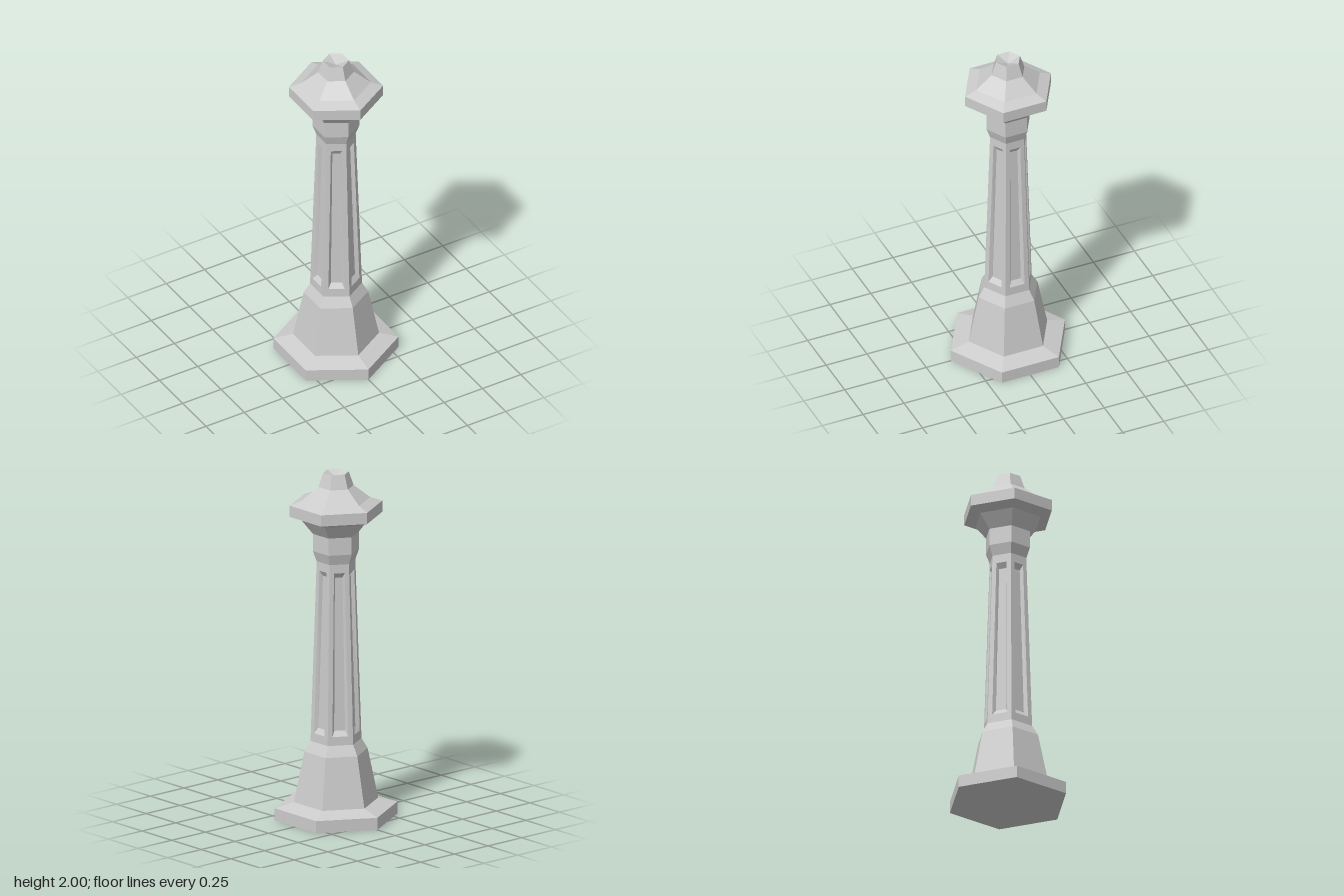
import * as THREE from 'three';

const SIDES = 6;
const material = new THREE.MeshStandardMaterial({ color: 0xcccccc, flatShading: true });

// Six-sided solid from [radius, height] pairs, corners on the z axis
function hexLathe(name, profile) {
  const points = profile.map(([r, y]) => new THREE.Vector2(r, y));
  const geometry = new THREE.LatheGeometry(points, SIDES).toNonIndexed();
  geometry.computeVertexNormals();
  const mesh = new THREE.Mesh(geometry, material);
  mesh.name = name;
  return mesh;
}

// Tapered shaft with a bevelled, sunken panel on each side
function panelledShaft(y0, r0, y1, r1) {
  const radiusAt = (y) => THREE.MathUtils.mapLinear(y, y0, y1, r0, r1);
  // Four corners, counter-clockwise seen from outside
  const ring = (bottom, top, wBottom, wTop, depth) => [
    [-wBottom, bottom, depth], [wBottom, bottom, depth],
    [wTop, top, depth], [-wTop, top, depth],
  ];
  const rings = [
    ring(y0, y1, r0 / 2, r1 / 2, 0),
    ring(0.5, 1.44, 0.045, 0.031, 0),
    ring(0.53, 1.41, 0.031, 0.022, 0.02),
  ];
  const positions = [];

  for (let side = 0; side < SIDES; side++) {
    const angle = ((side + 0.5) * Math.PI * 2) / SIDES;
    const s = Math.sin(angle), c = Math.cos(angle);
    const place = ([t, y, depth]) => {
      const d = radiusAt(y) * Math.cos(Math.PI / SIDES) - depth;
      return [s * d + c * t, y, c * d - s * t];
    };
    const quad = (...corners) => {
      const [p, q, r, u] = corners.map(place);
      positions.push(...p, ...q, ...r, ...p, ...r, ...u);
    };
    // Frame around the opening, then the bevels
    for (let k = 0; k < 2; k++) {
      for (let i = 0; i < 4; i++) {
        const j = (i + 1) % 4;
        quad(rings[k][i], rings[k][j], rings[k + 1][j], rings[k + 1][i]);
      }
    }
    // Sunken floor
    quad(...rings[2]);
  }

  const geometry = new THREE.BufferGeometry();
  geometry.setAttribute('position', new THREE.Float32BufferAttribute(positions, 3));
  geometry.computeVertexNormals();
  const mesh = new THREE.Mesh(geometry, material);
  mesh.name = 'panelledShaft';
  return mesh;
}

export function createModel() {
  const post = new THREE.Group();
  post.name = 'hexagonalPost';

  post.add(
    hexLathe('basePlate', [[0, 0], [0.349, 0], [0.349, 0.07], [0.24, 0.1]]),
    hexLathe('pedestal', [[0.24, 0.1], [0.18, 0.39], [0.145, 0.45]]),
    panelledShaft(0.45, 0.145, 1.49, 0.11),
    hexLathe('collar', [[0.11, 1.49], [0.132, 1.55], [0.132, 1.65]]),
    // Flared cap with a shallow dip in its top
    hexLathe('cap', [
      [0.132, 1.65], [0.195, 1.73], [0.263, 1.755], [0.263, 1.82],
      [0.195, 1.845], [0.1, 1.92], [0.073, 2], [0, 1.97],
    ]),
  );
  return post;
}
